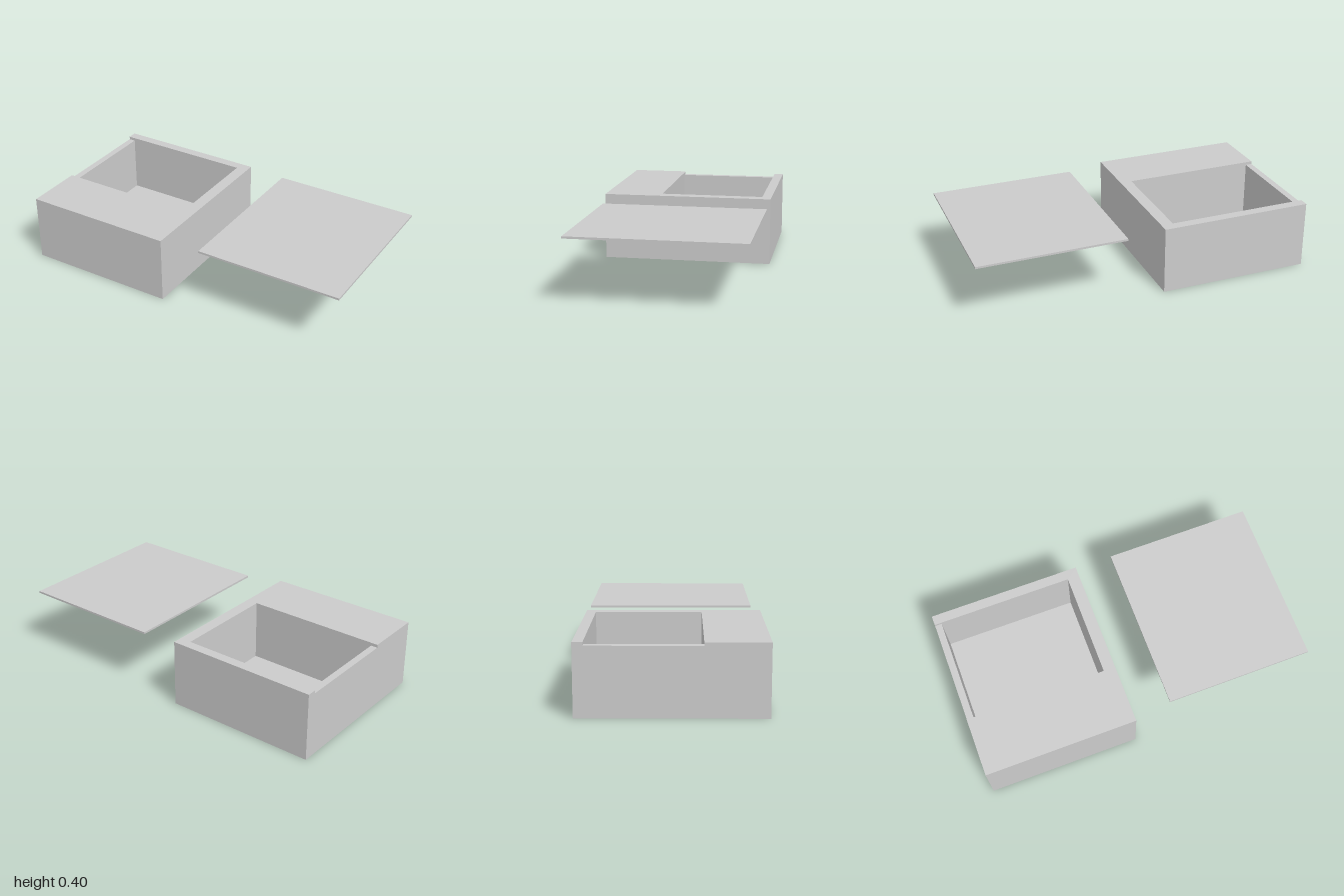
import * as THREE from 'three';

const material = new THREE.MeshStandardMaterial({ color: 0xcccccc, flatShading: true });

// Box given by its lower and upper corners
function block(name, [x0, y0, z0], [x1, y1, z1]) {
  const geometry = new THREE.BoxGeometry(x1 - x0, y1 - y0, z1 - z0);
  geometry.translate((x0 + x1) / 2, (y0 + y1) / 2, (z0 + z1) / 2);
  const mesh = new THREE.Mesh(geometry, material);
  mesh.name = name;
  return mesh;
}

export function createModel() {
  const model = new THREE.Group();
  model.name = 'boxWithLid';

  // Outer body and cavity extents
  const left = -1, right = -0.095, back = -0.512, front = 0.512, height = 0.402;
  const cavity = { left: -0.96, right: -0.165, back: -0.455, front: 0.165 };
  const floorTop = 0.04, notchY = 0.384;

  const container = new THREE.Group();
  container.name = 'container';

  // Three full-height walls as one C-shaped plan, drawn in (x, -z) and extruded upward
  const plan = new THREE.Shape([
    [left, front], [right, front], [right, back], [left, back],
    [left, cavity.back], [cavity.right, cavity.back],
    [cavity.right, cavity.front], [left, cavity.front],
  ].map(([x, z]) => new THREE.Vector2(x, -z)));
  const wallGeometry = new THREE.ExtrudeGeometry(plan, { depth: height, bevelEnabled: false });
  wallGeometry.rotateX(-Math.PI / 2);
  const walls = new THREE.Mesh(wallGeometry, material);
  walls.name = 'walls';
  container.add(walls);

  // Floor of the cavity and the lower, notched side wall
  container.add(
    block('floor', [left, 0, cavity.back], [cavity.right, floorTop, cavity.front]),
    block('notchedWall', [left, floorTop, cavity.back], [cavity.left, notchY, cavity.front]),
  );
  model.add(container);

  // Thin lid lying beside the container
  model.add(block('lid', [0.13, 0.376, -0.512], [1, 0.388, 0.47]));

  return model;
}
